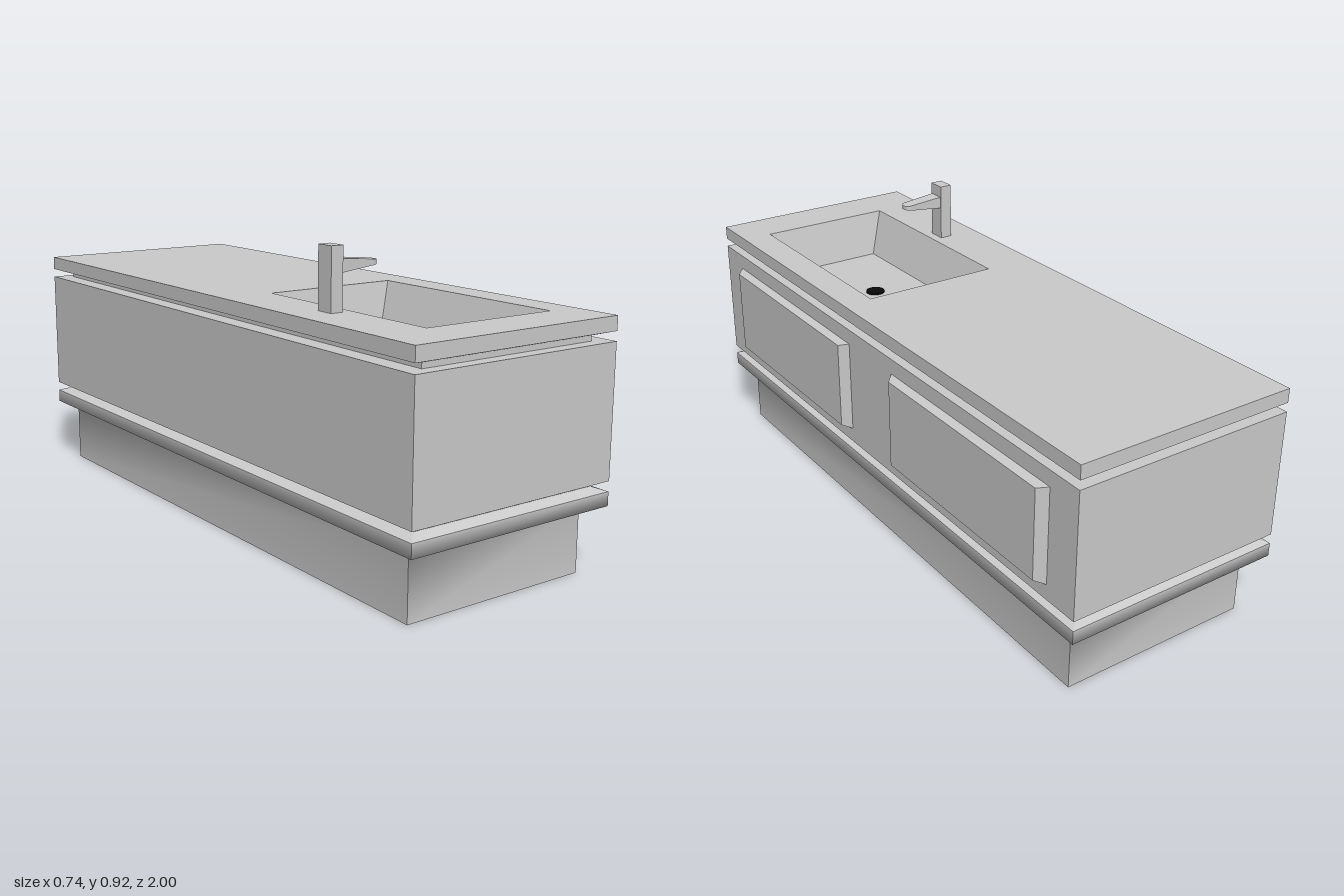
import * as THREE from 'three';
import { mergeGeometries } from 'three/addons/utils/BufferGeometryUtils.js';

const grey = new THREE.MeshStandardMaterial({ color: 0xcccccc });
const black = new THREE.MeshStandardMaterial({ color: 0x0a0a0a });

const CX = -0.0145; // centre line of the cabinet
const HX = 0.3555;  // half depth of the cabinet

// Rectangular ring at height y, given by its limits in x and z
const rect = (y, x0, x1, z0, z1) => [[x1, y, z1], [x1, y, z0], [x0, y, z0], [x0, y, z1]];
// Ring of the cabinet, given by its half sizes
const ring = (y, hx = HX, hz = 1) => rect(y, CX - hx, CX + hx, -hz, hz);

function patch(points, index, smooth) {
  const g = new THREE.BufferGeometry();
  g.setAttribute('position', new THREE.Float32BufferAttribute(points.flat(), 3));
  g.setIndex(index);
  if (smooth) g.computeVertexNormals();
  const flat = g.toNonIndexed();
  if (!smooth) flat.computeVertexNormals();
  return flat;
}

// Skin rectangular rings; corners stay sharp, smooth blends along the profile
function loft(rings, { smooth = false, bottom = false, top = false } = {}) {
  const parts = [];
  for (let s = 0; s < 4; s++) {
    const points = [], index = [];
    rings.forEach((r, i) => {
      points.push(r[s], r[(s + 1) % 4]);
      const k = 2 * i;
      if (i) index.push(k - 2, k - 1, k + 1, k - 2, k + 1, k);
    });
    parts.push(patch(points, index, smooth));
  }
  if (bottom) parts.push(patch(rings[0], [0, 2, 1, 0, 3, 2], false));
  if (top) parts.push(patch(rings[rings.length - 1], [0, 1, 2, 0, 2, 3], false));
  return mergeGeometries(parts);
}

export function createModel() {
  const model = new THREE.Group();
  const add = (name, geometry, material = grey) => {
    const mesh = new THREE.Mesh(geometry, material);
    mesh.name = name;
    model.add(mesh);
    return mesh;
  };

  // Plinth that flares softly into a ledge
  add('plinth', loft([ring(0, 0.31, 0.937), ring(0.197, 0.31, 0.937), ring(0.205), ring(0.247)],
    { smooth: true, bottom: true }));
  // Chamfered ledge and lower shadow gap
  add('lowerGap', loft([ring(0.247), ring(0.26, 0.32, 0.965), ring(0.277, 0.32, 0.965)]));
  // Main box
  add('cabinetBody', loft([ring(0.277, 0.32, 0.965), ring(0.277), ring(0.669), ring(0.669, 0.3, 0.96)]));
  // Upper shadow gap and chamfer under the worktop
  add('upperGap', loft([ring(0.669, 0.3, 0.96), ring(0.685, 0.3, 0.96), ring(0.697)]));
  // Worktop with a sunken basin
  add('worktop', loft([ring(0.697), ring(0.74), rect(0.74, -0.2, 0.245, 0.15, 0.845)]));
  add('basin', loft([rect(0.74, -0.2, 0.245, 0.15, 0.845), rect(0.592, -0.15, 0.195, 0.18, 0.815)],
    { top: true }));

  // Drain in the basin floor
  const drain = add('drain', new THREE.CylinderGeometry(0.031, 0.031, 0.008, 32), black);
  drain.position.set(0.028, 0.593, 0.498);

  // Two bevelled drawer fronts
  for (const z of [0.505, -0.505]) {
    const front = add('drawerFront', loft([
      rect(0, -0.148, 0.148, -0.38, 0.38),
      rect(0.026, -0.14, 0.14, -0.354, 0.354),
    ], { top: true }));
    front.rotation.z = -Math.PI / 2;
    front.position.set(CX + HX, 0.4725, z);
  }

  // Tap post
  const post = add('tapPost', new THREE.BoxGeometry(0.04, 0.183, 0.059));
  post.position.set(-0.251, 0.8315, 0.508);

  // Spout: plan outline with a rounded tip, its height tapering towards the tip
  const r = 0.022;
  const plan = new THREE.Shape();
  plan.moveTo(0, -0.025);
  plan.lineTo(0.133 - r, -r);
  plan.absarc(0.133 - r, 0, r, -Math.PI / 2, Math.PI / 2, false);
  plan.lineTo(0, 0.025);
  plan.closePath();
  const spout = new THREE.ExtrudeGeometry(plan, { depth: 1, bevelEnabled: false, curveSegments: 10 });
  spout.rotateX(-Math.PI / 2);
  const p = spout.attributes.position;
  for (let i = 0; i < p.count; i++) {
    const t = p.getX(i) / 0.133;
    const low = THREE.MathUtils.lerp(0.847, 0.861, t);
    const high = THREE.MathUtils.lerp(0.886, 0.874, t);
    p.setY(i, p.getY(i) > 0.5 ? high : low);
  }
  spout.computeVertexNormals();
  add('tapSpout', spout).position.set(-0.231, 0, 0.508);

  return model;
}
